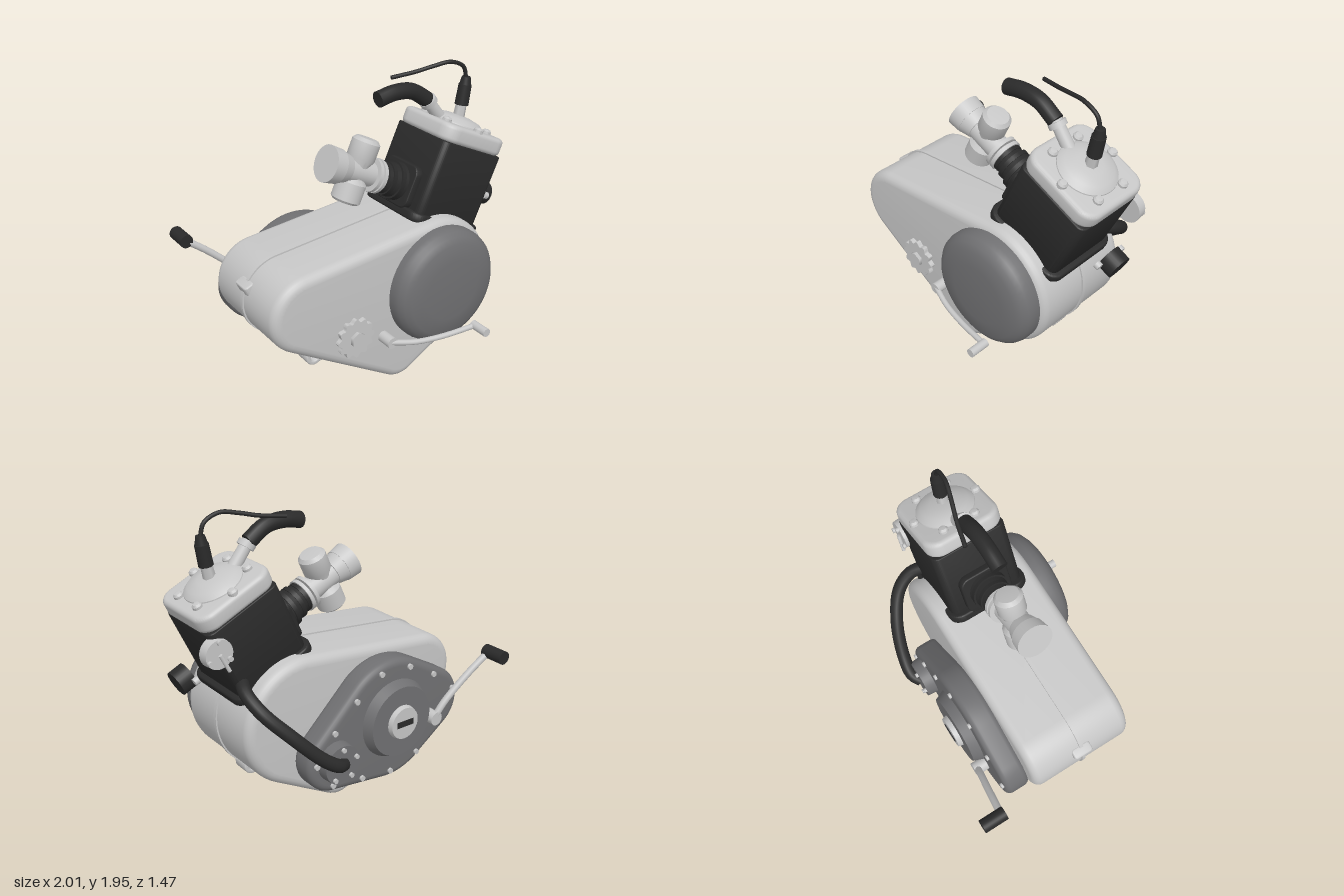
import * as THREE from 'three';
import { toCreasedNormals } from 'three/addons/utils/BufferGeometryUtils.js';

const V = (x, y, z) => new THREE.Vector3(x, y, z);
const mat = (name, color) => {
  const m = new THREE.MeshStandardMaterial({ color });
  m.name = name;
  return m;
};

// outline around circles [x, y, r] listed counter-clockwise
function hull(circles, grow = 0) {
  const n = circles.length;
  const normals = circles.map(([x, y, r], i) => {
    const [X, Y, R] = circles[(i + 1) % n];
    return Math.atan2(Y - y, X - x) - Math.acos((r - R) / Math.hypot(X - x, Y - y));
  });
  const shape = new THREE.Shape();
  circles.forEach(([x, y, r], i) => {
    shape.absarc(x, y, r + grow, normals[(i + n - 1) % n], normals[i], false);
  });
  return shape;
}

// plate between two depths with rounded rims
function plate(shape, z0, z1, b = 0) {
  const g = new THREE.ExtrudeGeometry(shape, {
    depth: z1 - z0 - 2 * b, bevelEnabled: b > 0, bevelSize: b, bevelThickness: b,
    bevelOffset: -b, bevelSegments: 5, curveSegments: 20,
  });
  g.translate(0, 0, z0 + b);
  return toCreasedNormals(g, 0.6);
}

// upright block with rounded corners
function slab(w, d, y0, y1, r, b) {
  const x = w / 2 - r, z = d / 2 - r;
  const corners = [[-x, -z, r], [x, -z, r], [x, z, r], [-x, z, r]];
  return plate(hull(corners), y0, y1, b).rotateX(-Math.PI / 2);
}

export function createModel() {
  const silver = mat('silver metal', 0xc6c6c6);
  const grey = mat('dark grey metal', 0x707072);
  const black = mat('black', 0x2a2a2a);
  const engine = new THREE.Group();
  engine.name = 'engine';

  const add = (parent, name, geo, m) => {
    const mesh = new THREE.Mesh(geo, m);
    mesh.name = name;
    parent.add(mesh);
    return mesh;
  };
  const rod = (parent, name, m, a, b, r0, r1 = r0, sides = 28) => {
    const dir = b.clone().sub(a);
    const mesh = add(parent, name, new THREE.CylinderGeometry(r1, r0, dir.length(), sides), m);
    mesh.position.copy(a).add(b).multiplyScalar(0.5);
    mesh.quaternion.setFromUnitVectors(V(0, 1, 0), dir.normalize());
    return mesh;
  };
  const tube = (parent, name, m, pts, r) => {
    const curve = new THREE.CatmullRomCurve3(pts.map((p) => V(...p)));
    add(parent, name, new THREE.TubeGeometry(curve, 40, r, 14), m);
    for (const t of [0, 1]) {
      const p = curve.getPoint(t), d = curve.getTangent(t).multiplyScalar(0.003);
      rod(parent, name + 'End', m, p.clone().sub(d), p.clone().add(d), r);
    }
  };
  const turned = (parent, name, m, pts) =>
    add(parent, name, toCreasedNormals(new THREE.LatheGeometry(
      pts.map((p) => new THREE.Vector2(...p)), 48).toNonIndexed(), 0.6), m);

  // crankcase with its centre seam
  const caseCircles = [[0.02, 0.2, 0.165], [0.3, 0.65, 0.42], [-0.65, 0.725, 0.255]];
  add(engine, 'crankcase', plate(hull(caseCircles), -0.316, 0.396, 0.06), silver);
  add(engine, 'caseSeam', plate(hull(caseCircles, 0.01), 0.028, 0.052), silver);

  // mounting lugs, clamp and drain plug
  for (const [name, x, y, tx, ty] of [['frontLug', 0.5, 0.285, 0.42, 0.34], ['rearLug', -0.45, 0.205, -0.32, 0.25]]) {
    const s = hull([[x, y, 0.06], [tx, ty, 0.06]]);
    s.holes.push(new THREE.Path().absarc(x, y, 0.03, 0, Math.PI * 2, true));
    add(engine, name, plate(s, -0.02, 0.1, 0.01), silver);
  }
  const clamp = add(engine, 'rearClamp', slab(0.07, 0.13, -0.04, 0.04, 0.02, 0.01), silver);
  clamp.position.set(-0.87, 0.83, 0.035);
  clamp.rotation.z = 0.4;
  rod(engine, 'drainPlug', silver, V(0.025, 0, 0.04), V(0.025, 0.06, 0.04), 0.03, 0.03, 6);

  // clutch cover
  const clutch = turned(engine, 'clutchCover', grey,
    [[0.385, 0], [0.385, 0.05], [0.375, 0.085], [0.35, 0.115], [0.31, 0.138], [0.2, 0.15], [0, 0.155]]);
  clutch.rotation.x = Math.PI / 2;
  clutch.position.set(0.3, 0.65, 0.39);

  // drive sprocket
  const teeth = [];
  for (let i = 0; i < 120; i++) {
    const a = (i / 120) * Math.PI * 2, r = 0.122 + 0.011 * Math.cos(12 * a);
    teeth.push(new THREE.Vector2(-0.36 + r * Math.cos(a), 0.49 + r * Math.sin(a)));
  }
  add(engine, 'sprocket', plate(new THREE.Shape(teeth), 0.41, 0.442), silver);
  rod(engine, 'sprocketNut', silver, V(-0.36, 0.49, 0.38), V(-0.36, 0.49, 0.465), 0.05, 0.05, 6);

  // gear lever
  rod(engine, 'gearLeverHub', silver, V(-0.13, 0.4, 0.38), V(-0.13, 0.4, 0.5), 0.037);
  tube(engine, 'gearLeverArm', silver,
    [[-0.13, 0.4, 0.485], [0.02, 0.375, 0.535], [0.2, 0.37, 0.575], [0.43, 0.385, 0.615]], 0.018);
  rod(engine, 'gearLeverPeg', silver, V(0.435, 0.387, 0.6), V(0.435, 0.387, 0.73), 0.028);

  // flywheel cover with bolts, raised drum, cap and slot
  const cover = [[0.18, 0.41, 0.21], [-0.26, 0.56, 0.41], [-0.6, 0.58, 0.23]];
  // the big circle is repeated so that the outline follows it on both sides
  const loop = [[-0.26, 0.557, 0.41], cover[0], cover[1], cover[2]];
  add(engine, 'flywheelCover', plate(hull(loop), -0.475, -0.3, 0.045), grey);
  hull(loop, -0.05).getSpacedPoints(11).slice(0, 11).forEach((p) =>
    rod(engine, 'coverBolt', silver, V(p.x, p.y, -0.46), V(p.x, p.y, -0.49), 0.018));
  rod(engine, 'flywheelDrum', grey, V(-0.28, 0.57, -0.46), V(-0.28, 0.57, -0.54), 0.27, 0.235, 48);
  rod(engine, 'flywheelCap', silver, V(-0.28, 0.57, -0.53), V(-0.28, 0.57, -0.572), 0.115, 0.105, 40);
  add(engine, 'capSlot', new THREE.BoxGeometry(0.13, 0.04, 0.006), black).position.set(-0.28, 0.57, -0.573);

  // water pump with bolts
  rod(engine, 'waterPump', grey, V(0.19, 0.42, -0.46), V(0.19, 0.42, -0.545), 0.135, 0.128, 36);
  for (let i = 0; i < 5; i++) {
    const a = i * Math.PI * 0.4 + Math.PI / 2, x = 0.19 + 0.105 * Math.cos(a), y = 0.42 + 0.105 * Math.sin(a);
    rod(engine, 'pumpBolt', silver, V(x, y, -0.53), V(x, y, -0.562), 0.015);
  }
  tube(engine, 'coolantHose', black, [[0.64, 0.99, -0.13], [0.69, 0.94, -0.26], [0.66, 0.85, -0.38],
    [0.53, 0.7, -0.49], [0.35, 0.52, -0.56], [0.24, 0.445, -0.57], [0.18, 0.42, -0.535]], 0.043);

  // kick starter
  rod(engine, 'kickHub', silver, V(-0.56, 0.51, -0.45), V(-0.56, 0.51, -0.565), 0.045);
  tube(engine, 'kickArm', silver,
    [[-0.56, 0.51, -0.54], [-0.64, 0.62, -0.555], [-0.82, 0.79, -0.585], [-0.95, 0.89, -0.605]], 0.023);
  rod(engine, 'kickPedal', black, V(-0.956, 0.895, -0.58), V(-0.956, 0.895, -0.74), 0.044);

  // leaning cylinder: barrel, base flange, head and dome
  const top = new THREE.Group();
  top.name = 'cylinderAssembly';
  top.position.set(0.45, 1.0, 0.042);
  top.rotation.z = -0.436;
  engine.add(top);
  add(top, 'barrel', slab(0.525, 0.505, -0.06, 0.475, 0.05, 0.01), black);
  add(top, 'baseFlange', slab(0.6, 0.56, -0.06, 0.0, 0.09, 0.015), black);
  add(top, 'cylinderHead', slab(0.54, 0.51, 0.472, 0.585, 0.1, 0.03), silver);
  turned(top, 'headDome', silver, [[0.19, 0.57], [0.185, 0.592], [0.15, 0.62], [0.08, 0.635], [0, 0.638]]);
  for (let i = 0; i < 6; i++) {
    const a = (i * Math.PI) / 3 + Math.PI / 6, x = 0.215 * Math.cos(a), z = 0.215 * Math.sin(a);
    turned(top, 'headBolt', silver, [[0.03, 0], [0.03, 0.025], [0.02, 0.037], [0, 0.04]]).position.set(x, 0.575, z);
  }

  // carburettor on its rubber mount
  const py = 0.122, P = (x, dy = 0, z = 0) => V(x, py + dy, z);
  const mount = add(top, 'intakeFlange', slab(0.28, 0.32, 0, 0.06, 0.06, 0.01), black);
  mount.rotation.z = Math.PI / 2;
  mount.position.set(-0.25, py, 0);
  rod(top, 'intakeRubber', black, P(-0.3), P(-0.5), 0.125, 0.085);
  for (const [x, r] of [[-0.35, 0.125], [-0.41, 0.11], [-0.465, 0.1]]) {
    rod(top, 'rubberRib', black, P(x + 0.014), P(x - 0.014), r);
  }
  for (const x of [-0.488, -0.525]) rod(top, 'clampRing', silver, P(x + 0.012), P(x - 0.012), 0.11, 0.11, 36);
  rod(top, 'carburettorBody', silver, P(-0.47), P(-0.76), 0.078);
  rod(top, 'carburettorTrumpet', silver, P(-0.73), P(-0.8), 0.085, 0.105, 36);
  rod(top, 'carburettorMouth', silver, P(-0.8), P(-0.885), 0.108, 0.116, 36);
  turned(top, 'carburettorSlide', silver, [[0, -0.2], [0.08, -0.2], [0.095, -0.185], [0.095, -0.07],
    [0.07, -0.04], [0.07, 0.05], [0.09, 0.085], [0.09, 0.19], [0.07, 0.212], [0, 0.218]]).position.set(-0.65, py, 0);

  // exhaust stub
  rod(top, 'exhaustStub', black, V(0.395, 0.19, 0), V(0.49, 0.19, 0), 0.08);
  for (const s of [1, -1]) {
    rod(top, 'exhaustBolt', silver, V(0.39, 0.19, s * 0.1), V(0.42, 0.19, s * 0.1), 0.024);
  }

  // round valve cover on the back of the barrel
  rod(engine, 'valveCover', silver, V(0.835, 1.21, -0.17), V(0.835, 1.21, -0.232), 0.096, 0.09, 36);
  for (let i = 0; i < 3; i++) {
    const a = Math.PI / 2 + (i * Math.PI * 2) / 3, x = 0.835 + 0.075 * Math.cos(a), y = 1.21 + 0.075 * Math.sin(a);
    rod(engine, 'valveBolt', silver, V(x, y, -0.22), V(x, y, -0.25), 0.016);
  }
  rod(engine, 'valveLever', silver, V(0.835, 1.21, -0.24), V(0.78, 1.1, -0.245), 0.012);

  // water outlet and hose
  rod(engine, 'outletPipe', silver, V(0.57, 1.58, 0.04), V(0.45, 1.74, 0.04), 0.042, 0.038);
  rod(engine, 'outletCollar', silver, V(0.475, 1.705, 0.04), V(0.455, 1.732, 0.04), 0.056);
  tube(engine, 'outletHose', black,
    [[0.08, 1.805, 0.04], [0.2, 1.825, 0.04], [0.33, 1.81, 0.04], [0.45, 1.735, 0.04]], 0.051);

  // spark plug, boot and lead
  rod(engine, 'sparkPlug', silver, V(0.715, 1.55, 0.042), V(0.74, 1.66, 0.042), 0.04, 0.035, 6);
  rod(engine, 'plugBoot', black, V(0.738, 1.645, 0.042), V(0.762, 1.775, 0.042), 0.045, 0.042);
  rod(engine, 'plugBootTop', black, V(0.762, 1.775, 0.042), V(0.768, 1.825, 0.042), 0.038, 0.028);
  tube(engine, 'plugLead', black, [[0.768, 1.815, 0.042], [0.74, 1.895, 0.042], [0.64, 1.94, 0.035],
    [0.53, 1.925, 0.005], [0.42, 1.9, -0.03], [0.26, 1.88, -0.07]], 0.013);

  return engine;
}
